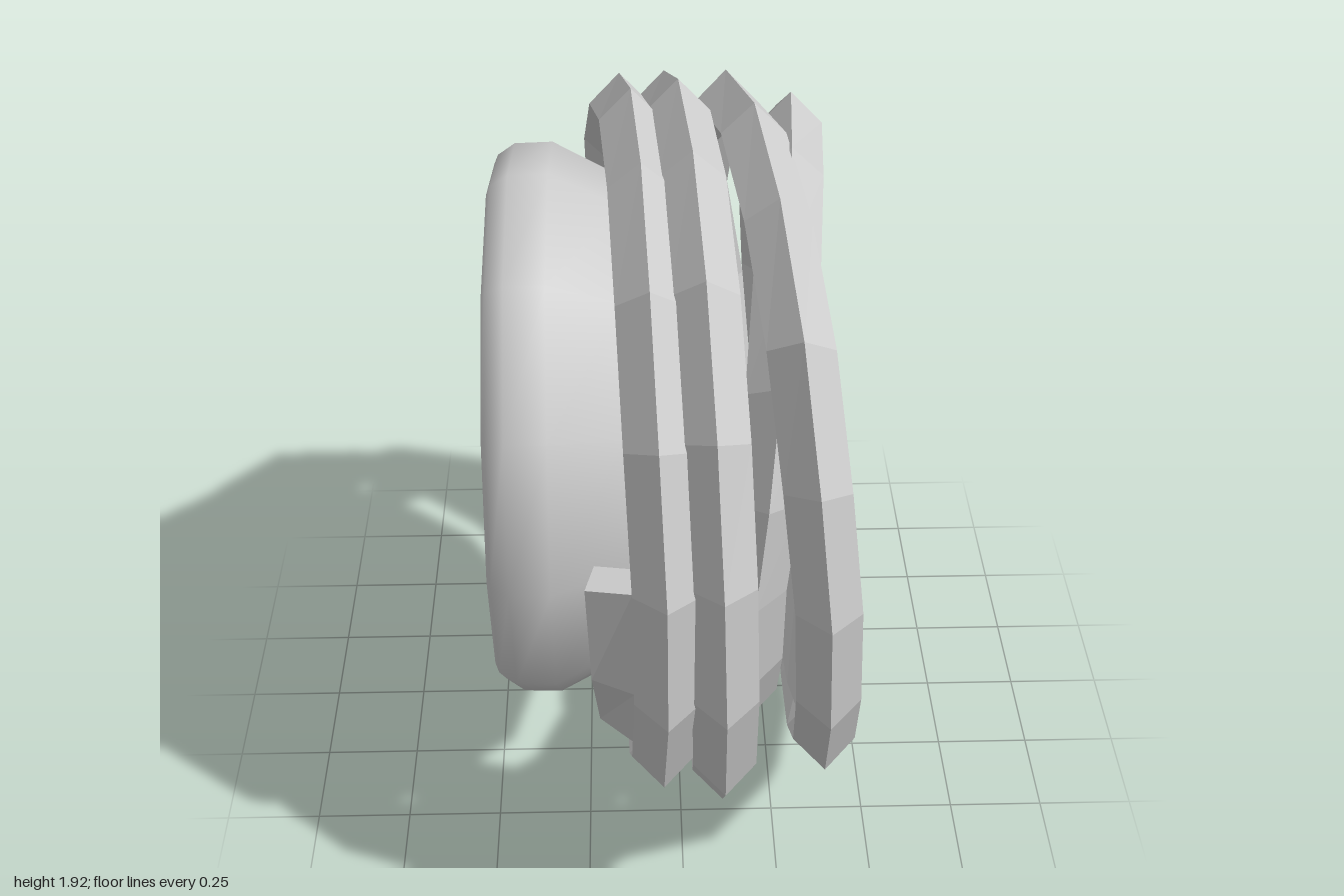
import * as THREE from 'three';

const CY = 0.98, CZ = 0.05; // coil axis, running along x
const grey = (opts = {}) => new THREE.MeshStandardMaterial({ color: 0xcccccc, ...opts });

// Square bar wound round the x axis.
// keys: [angle in degrees (0 top, 90 front, 180 bottom), x, radius]
function coil(name, keys, startRoll, endRoll, fade, step = 22.45, half = 0.08) {
  const first = keys[0][0], last = keys[keys.length - 1][0];
  const n = Math.round((last - first) / step);
  const at = (deg) => {
    let i = 0;
    while (i < keys.length - 2 && deg > keys[i + 1][0]) i++;
    const [a, b] = [keys[i], keys[i + 1]];
    const t = (deg - a[0]) / (b[0] - a[0]);
    return [a[1] + (b[1] - a[1]) * t, a[2] + (b[2] - a[2]) * t];
  };
  const pos = [], index = [];
  for (let i = 0; i <= n; i++) {
    const deg = first + ((last - first) * i) / n;
    const [x, r] = at(deg), a = THREE.MathUtils.degToRad(deg);
    // the bar stands on edge and turns flatter towards its ends
    const roll = startRoll * Math.max(0, 1 - (deg - first) / fade) + endRoll * Math.max(0, 1 - (last - deg) / fade);
    for (let k = 0; k < 4; k++) {
      const c = (k * Math.PI) / 2 + roll;
      const rr = r + half * Math.cos(c);
      pos.push(x + half * Math.sin(c), CY + rr * Math.cos(a), CZ + rr * Math.sin(a));
    }
  }
  for (let i = 0; i < n; i++) {
    for (let k = 0; k < 4; k++) {
      const a = i * 4 + k, b = i * 4 + ((k + 1) % 4), c = a + 4, d = b + 4;
      index.push(a, c, b, b, c, d);
    }
  }
  const e = n * 4;
  index.push(0, 1, 2, 0, 2, 3, e, e + 2, e + 1, e, e + 3, e + 2); // end caps
  const geo = new THREE.BufferGeometry();
  geo.setAttribute('position', new THREE.Float32BufferAttribute(pos, 3));
  geo.setIndex(index);
  geo.computeVertexNormals();
  const mesh = new THREE.Mesh(geo, grey({ flatShading: true, side: THREE.DoubleSide }));
  mesh.name = name;
  return mesh;
}

// Twelve-sided drum with a rounded rim and flat faces
function drum() {
  const group = new THREE.Group();
  group.name = 'drum';
  const profile = [[0.68, -0.475], [0.705, -0.465], [0.735, -0.42], [0.738, -0.32], [0.645, -0.14], [0.6, -0.1]];
  const side = new THREE.LatheGeometry(profile.map(([r, x]) => new THREE.Vector2(r, x)), 12);
  side.rotateZ(-Math.PI / 2);
  const rim = new THREE.Mesh(side, grey());
  rim.name = 'drumRim';
  group.add(rim);
  for (const [name, r, x, dir] of [['outerFace', 0.68, -0.475, -1], ['innerFace', 0.6, -0.1, 1]]) {
    const face = new THREE.Mesh(new THREE.CircleGeometry(r, 12).rotateY((dir * Math.PI) / 2), grey());
    face.name = name;
    face.position.x = x;
    group.add(face);
  }
  group.position.set(0, 1.005, 0.03);
  return group;
}

export function createModel() {
  const model = new THREE.Group();
  model.name = 'coiledDrum';
  model.add(drum());

  // strand beside the drum, two and a half turns
  model.add(coil('drumSideCoil', [
    [82, -0.17, 0.77], [120, -0.14, 0.76], [150, -0.11, 0.77], [180, -0.1, 0.79],
    [270, -0.15, 0.81], [300, -0.17, 0.87], [330, -0.14, 0.87], [360, -0.1, 0.86],
    [450, -0.04, 0.88], [540, -0.07, 0.87], [600, -0.08, 0.82], [630, -0.07, 0.82],
    [660, -0.05, 0.85], [690, -0.02, 0.88], [720, 0.02, 0.88], [765, 0.06, 0.88],
    [810, 0.09, 0.88], [870, 0.11, 0.92], [890, 0.11, 0.91], [915, 0.11, 0.9],
    [933, 0.11, 0.95], [948, 0.11, 1.0], [979, 0.12, 0.98],
  ], 0.6, 0, 60));

  // free strand, a tight inner turn widening into the outer loop
  model.add(coil('freeCoil', [
    [120, 0.38, 0.73], [150, 0.385, 0.73], [180, 0.37, 0.72], [210, 0.36, 0.7],
    [240, 0.33, 0.71], [270, 0.3, 0.75], [290, 0.27, 0.79], [340, 0.3, 0.82],
    [360, 0.28, 0.8], [405, 0.23, 0.7], [450, 0.17, 0.64], [495, 0.17, 0.69],
    [540, 0.18, 0.76], [585, 0.19, 0.77], [630, 0.14, 0.82], [655, 0.08, 0.86],
    [690, 0.12, 0.87], [720, 0.19, 0.87], [765, 0.27, 0.86], [810, 0.34, 0.81],
    [860, 0.37, 0.83], [900, 0.38, 0.82], [945, 0.39, 0.83], [960, 0.38, 0.86],
    [985, 0.36, 0.91],
  ], 0.7, 0.7, 110));

  return model;
}
